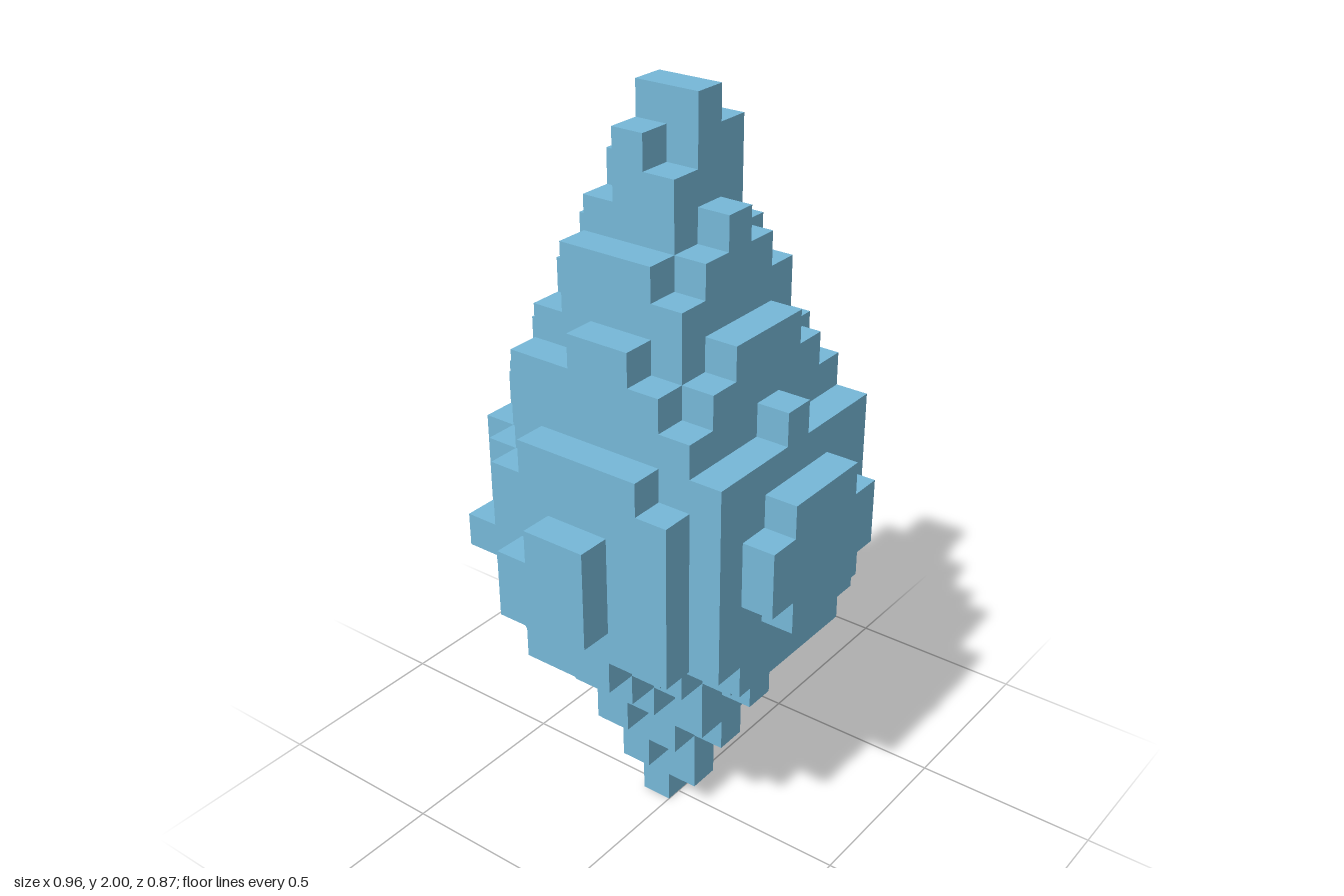
import * as THREE from 'three';

const S = 2 / 23;      // size of one block
const SLOPE = 0.45;    // how fast a face falls away from its middle
const SHIFT = 0.25;    // the gem's axis sits slightly to the back

// Upper and lower limits (in blocks) at the middle of each face, from the axis outward
const TOP = {
  front: [22.4, 19.4, 16.6, 14.44, 12.46],
  back: [22.4, 20.4, 18.4, 15.5, 13.5],
  right: [23, 21.3, 18.6, 16.5, 13.9, 11.6],
  left: [23, 21.5, 19.3, 16.5, 13.9, 12.2],
};
const BOTTOM = {
  front: [0.9, 2.8, 4.95, 6.1, 8.5],
  back: [-0.4, 1.8, 3.8, 5.5, 7.5],
  side: [-1, 1.8, 3.7, 5.5, 6.4, 8.4],
};

// Vertical span [low, high] of the column at block x (-5..5) and row (-5..4), or null
function column(x, row) {
  if (Math.abs(x) > 5 || row < -5 || row > 4) return null;
  const z = row + 0.5 + SHIFT;
  const inset = 27.6 - (x - 0.1) ** 2 - z * z;   // how far inside the round girdle
  if (inset < 0) return null;
  const end = row >= 0 ? 'front' : 'back';
  const flank = x >= 0 ? 'left' : 'right';
  const k = row >= 0 ? row : -row - 1;
  const ax = Math.abs(x);
  const dropX = SLOPE * ax;
  const dropZ = SLOPE * Math.abs(z);
  // the four corner ridges are cut back
  const offRidge = Math.abs(ax - Math.abs(z));
  const cutTop = 0.27 * ax * ax * Math.max(0, 0.75 - offRidge);
  const cutBottom = 0.18 * ax * ax * Math.max(0, 1 - offRidge);
  const top = Math.min(TOP[end][k] - dropX, TOP[flank][ax] - dropZ) - cutTop;
  const bottom = Math.max(BOTTOM[end][k] + dropX, BOTTOM.side[ax] + dropZ) + cutBottom;
  // columns at the girdle thin out to a single block
  const high = Math.min(23, Math.floor(Math.min(top, 10.57 + 0.7 * inset)) + 1);
  const low = Math.max(0, Math.ceil(Math.max(bottom, 9.7 - 0.7 * inset)));
  return high > low ? [low, high] : null;
}

// Outer skin of all the block columns, without hidden inner faces
function gemGeometry() {
  const pos = [];
  const quad = (a, b, c, d) => {
    for (const p of [a, b, c, a, c, d]) pos.push(p[0] * S, p[1] * S, p[2] * S);
  };
  for (let x = -5; x <= 5; x++) {
    for (let row = -5; row <= 4; row++) {
      const span = column(x, row);
      if (!span) continue;
      const [lo, hi] = span;
      const x0 = x - 0.5, x1 = x + 0.5, z0 = row, z1 = row + 1;
      // top and bottom caps
      quad([x0, hi, z1], [x1, hi, z1], [x1, hi, z0], [x0, hi, z0]);
      quad([x0, lo, z0], [x1, lo, z0], [x1, lo, z1], [x0, lo, z1]);
      // walls standing clear of each neighbour
      const sides = [
        [1, 0, [x1, z1], [x1, z0]],
        [-1, 0, [x0, z0], [x0, z1]],
        [0, 1, [x0, z1], [x1, z1]],
        [0, -1, [x1, z0], [x0, z0]],
      ];
      for (const [dx, dz, p, q] of sides) {
        const n = column(x + dx, row + dz);
        const strips = n
          ? [[lo, Math.min(hi, n[0])], [Math.max(lo, n[1]), hi]]
          : [[lo, hi]];
        for (const [a, b] of strips) {
          if (b > a) quad([p[0], a, p[1]], [q[0], a, q[1]], [q[0], b, q[1]], [p[0], b, p[1]]);
        }
      }
    }
  }
  const g = new THREE.BufferGeometry();
  g.setAttribute('position', new THREE.Float32BufferAttribute(pos, 3));
  g.computeVertexNormals();
  return g;
}

export function createModel() {
  const blue = new THREE.MeshStandardMaterial({ color: 0x76b8d8 });
  blue.name = 'crystal blue';
  const gem = new THREE.Mesh(gemGeometry(), blue);
  gem.name = 'blockCrystal';
  const group = new THREE.Group();
  group.name = 'crystal';
  group.add(gem);
  return group;
}
